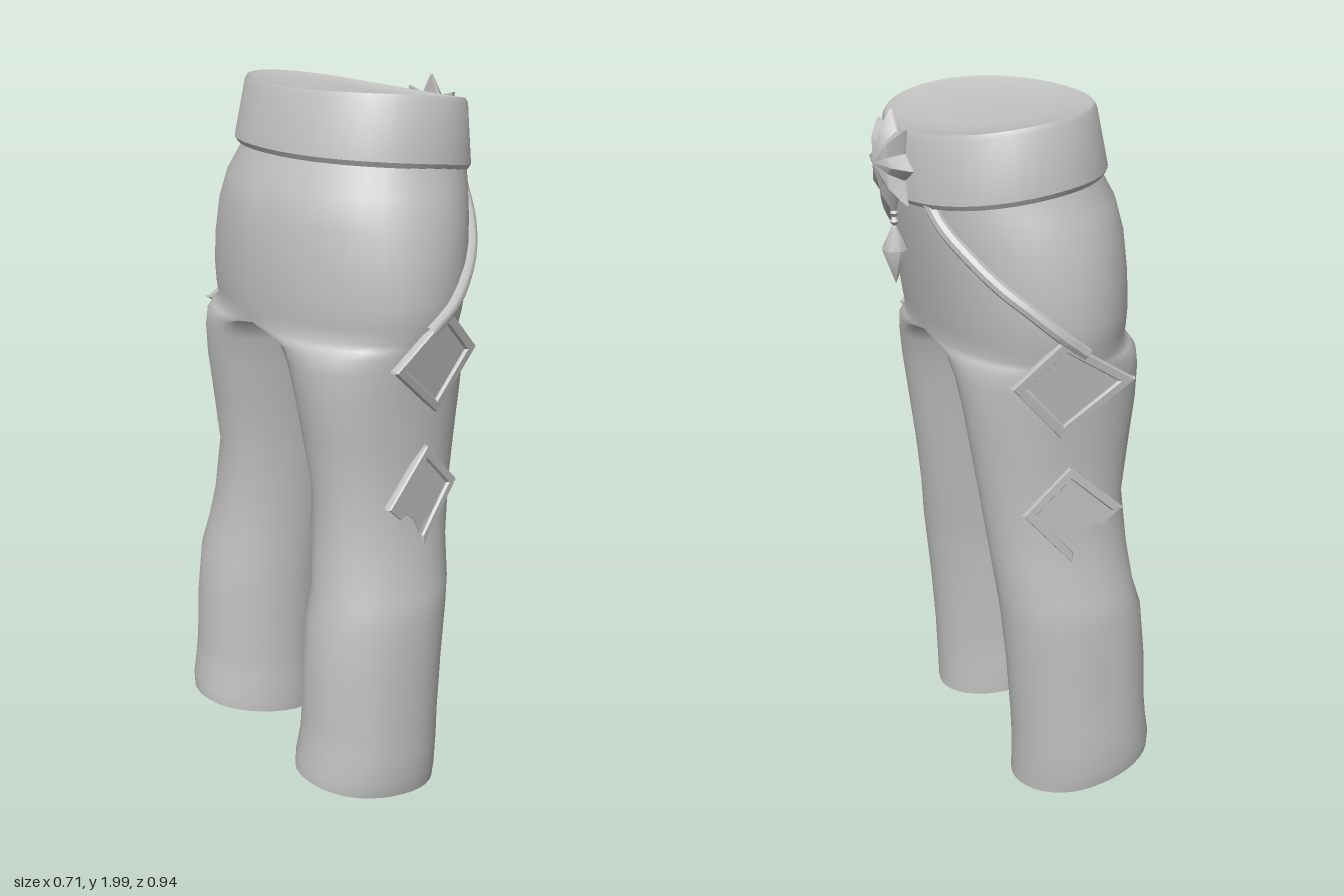
import * as THREE from 'three';
import { mergeVertices, toCreasedNormals } from 'three/addons/utils/BufferGeometryUtils.js';

const SEG = 40;
const V = (x, y, z) => new THREE.Vector3(x, y, z);
const spow = (v, n) => Math.sign(v) * Math.pow(Math.abs(v), 2 / n);

// Skin closed rings, listed bottom to top; keep() can reject faces
function loft(rows, flip = false, keep = () => true) {
  const n = rows[0].length, pos = [], idx = [];
  rows.forEach(r => r.forEach(p => pos.push(p.x, p.y, p.z)));
  const tri = (a, b, c) => {
    const [p, q, r] = [a, b, c].map(i => rows[Math.floor(i / n)][i % n]);
    if (keep(p, q, r)) idx.push(...(flip ? [a, c, b] : [a, b, c]));
  };
  for (let i = 0; i < rows.length - 1; i++) for (let j = 0; j < n; j++) {
    const k = (j + 1) % n, a = i * n + j, b = i * n + k;
    tri(a, a + n, b);
    tri(b, a + n, b + n);
  }
  const g = new THREE.BufferGeometry();
  g.setAttribute('position', new THREE.Float32BufferAttribute(pos, 3));
  g.setIndex(idx);
  return g;
}

// Mirror across z = 0, restoring the winding
function mirrorZ(geo) {
  const g = geo.index ? geo.toNonIndexed() : geo;
  const p = g.attributes.position, out = [];
  for (let i = 0; i < p.count; i += 3)
    for (const k of [i, i + 2, i + 1]) out.push(p.getX(k), p.getY(k), -p.getZ(k));
  const m = new THREE.BufferGeometry();
  m.setAttribute('position', new THREE.Float32BufferAttribute(out, 3));
  return toCreasedNormals(m, 0.7);
}

// Trouser sections: y, back x, front x, inner z, outer z, hip blend
const SECTIONS = [
  [0.00, -0.357, 0.068, 0.10, 0.462, 0],
  [0.05, -0.355, 0.068, 0.098, 0.471, 0],
  [0.14, -0.341, 0.070, 0.104, 0.472, 0],
  [0.22, -0.335, 0.074, 0.107, 0.467, 0],
  [0.40, -0.330, 0.088, 0.107, 0.462, 0],
  [0.56, -0.314, 0.105, 0.106, 0.456, 0],
  [0.64, -0.290, 0.115, 0.103, 0.445, 0],
  [0.76, -0.278, 0.130, 0.096, 0.410, 0],
  [0.92, -0.266, 0.152, 0.082, 0.392, 0],
  [1.08, -0.288, 0.176, 0.058, 0.396, 0],
  [1.20, -0.305, 0.194, 0.036, 0.402, 0],
  [1.29, -0.315, 0.207, 0.020, 0.408, 0.08],
  [1.335, -0.319, 0.214, 0.011, 0.415, 0.25],
  [1.355, -0.320, 0.217, 0.005, 0.420, 0.6],
  [1.37, -0.321, 0.219, 0, 0.424, 1],
  [1.41, -0.324, 0.225, 0, 0.434, 1],
  [1.47, -0.327, 0.234, 0, 0.440, 1],
  [1.56, -0.326, 0.248, 0, 0.433, 1],
  [1.66, -0.318, 0.262, 0, 0.414, 1],
  [1.74, -0.300, 0.272, 0, 0.386, 1],
  [1.81, -0.262, 0.277, 0, 0.352, 1],
  [1.90, -0.225, 0.270, 0, 0.330, 1],
];

// Point on the left half at angle t: leg oval blended into half a hip oval,
// legs fuller at the outer back and hips fuller at the front
function skin([y, x0, x1, z0, z1, w], t) {
  const ct = Math.cos(t), st = Math.sin(t);
  const n = 2.03 + 0.12 * (1 - w) * (st - ct) + w * (0.05 + 0.13 * ct);
  const s = spow(st, n), x = (x0 + x1) / 2 + (x1 - x0) / 2 * spow(ct, n);
  const leg = (z0 + z1) / 2 + (z1 - z0) / 2 * s;
  const z = leg * (1 - w) + z1 * Math.max(0, s) * w;
  const tilt = 0.18 * (0.068 - x) * Math.max(0, 1 - y / 0.4);
  return V(x, y + tilt, z < 1e-4 ? 0 : z);
}

function sectionAt(y) {
  const i = SECTIONS.findIndex(s => s[0] >= y);
  const a = SECTIONS[i - 1], b = SECTIONS[i], f = (y - a[0]) / (b[0] - a[0]);
  return a.map((v, k) => v + (b[k] - v) * f);
}

const ring = f => Array.from({ length: SEG }, (_, j) => f(j / SEG * Math.PI * 2));

// Diamond charm on the thigh: raised rim over a thin plate; a notch breaks the last side
function charm(corners, notch, lean, place) {
  const pts = corners.map(([x, y]) => new THREE.Vector2(x, y));
  const gap = notch.map(([x, y]) => new THREE.Vector2(x, y));
  const parts = [['charmPlate', new THREE.ExtrudeGeometry(
    new THREE.Shape([...pts, ...gap]), { depth: 0.009, bevelEnabled: false })]];
  const sides = gap.length ? 3 : 4;
  for (let i = 0; i < sides; i++) {
    const a = pts[i], b = pts[(i + 1) % 4];
    const bar = new THREE.Shape([a, b, b.clone().multiplyScalar(0.8), a.clone().multiplyScalar(0.8)]);
    parts.push(['charmRim', new THREE.ExtrudeGeometry(bar, {
      depth: 0.012, bevelThickness: 0.006, bevelSize: 0.004, bevelSegments: 1 })]);
  }
  parts.forEach(([, g]) => g.rotateX(lean).rotateY(0.2).translate(...place));
  return parts;
}

export function createModel() {
  const group = new THREE.Group();
  const cloth = new THREE.MeshStandardMaterial({ color: 0xc0c0c0 });
  cloth.name = 'plainGrey';
  const add = (name, geo) => {
    const m = new THREE.Mesh(geo, cloth);
    m.name = name;
    group.add(m);
  };

  // Trousers: both halves welded along the middle
  const left = SECTIONS.map(s => ring(t => skin(s, t)));
  const right = left.map(r => r.map(p => V(p.x, p.y, -p.z)));
  const open = (p, q, r) => p.z !== 0 || q.z !== 0 || r.z !== 0;
  const halves = [loft(left, false, open), loft(right, true, open)].map(g => g.toNonIndexed());
  const body = new THREE.BufferGeometry();
  body.setAttribute('position', new THREE.Float32BufferAttribute(
    halves.flatMap(g => Array.from(g.attributes.position.array)), 3));
  const trousers = mergeVertices(body, 1e-4);
  trousers.computeVertexNormals();
  add('trousers', trousers);

  // Closed leg ends
  for (const [r, flip] of [[left[0], false], [right[0], true]]) {
    const mid = r.reduce((a, p) => a.add(p), V(0, 0, 0)).divideScalar(SEG);
    const cap = loft([r.map(() => mid), r], flip);
    cap.computeVertexNormals();
    add('legEnd', cap);
  }

  // Waistband with a gently dished top
  const topY = x => 1.985 - 0.1 * x - 0.25 * x * x;
  const lowY = x => 1.808 - 0.12 * x - 0.2 * x * x;
  const band = (cx, rx, rz, yOf, k = 1, drop = 0) => ring(t => {
    const x = cx + rx * spow(Math.cos(t), 2.12), z = rz * spow(Math.sin(t), 2.12);
    return V(cx + (x - cx) * k, yOf(x) * k + yOf(cx) * (1 - k) - drop, z * k - 0.008);
  });
  const belt = loft([
    band(0.018, 0.28, 0.368, lowY, 0.9),
    band(0.018, 0.28, 0.368, lowY, 0.985, 0.006),
    band(0.018, 0.284, 0.370, lowY, 1, -0.008),
    band(0.030, 0.263, 0.348, topY, 1, 0.012),
    band(0.030, 0.260, 0.345, topY, 0.985),
    band(0.030, 0.260, 0.345, topY, 0.94, 0.008),
    band(0.030, 0.260, 0.345, topY, 0.5, 0.02),
    band(0.030, 0.260, 0.345, topY, 0, 0.025),
  ]);
  add('waistband', toCreasedNormals(belt, 0.6));

  // Eight-pointed buckle, domed toward the front
  const star = (k, y) => Array.from({ length: 16 }, (_, i) => {
    const r = (i % 2 ? 0.088 : 0.137) * k, a = i * Math.PI / 8;
    return V(r * Math.cos(a), y, r * Math.sin(a));
  });
  const buckle = loft([star(0, -0.012), star(1, -0.004), star(1, 0.004), star(0.6, 0.036), star(0, 0.056)]);
  buckle.rotateZ(-Math.PI / 2).translate(0.3, 1.847, -0.006);
  add('starBuckle', toCreasedNormals(buckle, 0.8));

  // Hanging drop below the buckle
  const drop = [[0, 1.513], [0.037, 1.61], [0.009, 1.668], [0.005, 1.675], [0.013, 1.685],
    [0.005, 1.698], [0.012, 1.708], [0, 1.725]].map(([r, y]) => new THREE.Vector2(r, y));
  add('pendant', toCreasedNormals(new THREE.LatheGeometry(drop, 8).translate(0.3, 0, -0.003), 0.9));

  // Cords draped over the hips from the belt to the upper charms
  const path = [[0.36, 1.775], [0.48, 1.71], [0.70, 1.64], [0.92, 1.575], [1.12, 1.525], [1.36, 1.46], [1.6, 1.40]]
    .map(([t, y]) => skin(sectionAt(y), t).add(V(0.005, 0, 0.004)));
  const cord = new THREE.TubeGeometry(new THREE.CatmullRomCurve3(path), 28, 0.018, 8);

  // Charms on the outer thighs
  const upper = charm([[-0.165, 0.01], [0.025, -0.148], [0.16, 0.01], [0.03, 0.135]], [], 0.13, [-0.025, 1.31, 0.412]);
  const lower = charm([[0, -0.147], [0.137, 0.01], [0.01, 0.14], [-0.14, 0.005]],
    [[-0.085, -0.045], [-0.065, -0.035], [-0.03, -0.06], [-0.01, -0.115]], 0, [-0.045, 0.925, 0.392]);
  for (const [name, geo] of [['hipCord', cord], ...upper, ...lower]) {
    add(name + 'Left', geo);
    add(name + 'Right', mirrorZ(geo));
  }
  return group;
}
